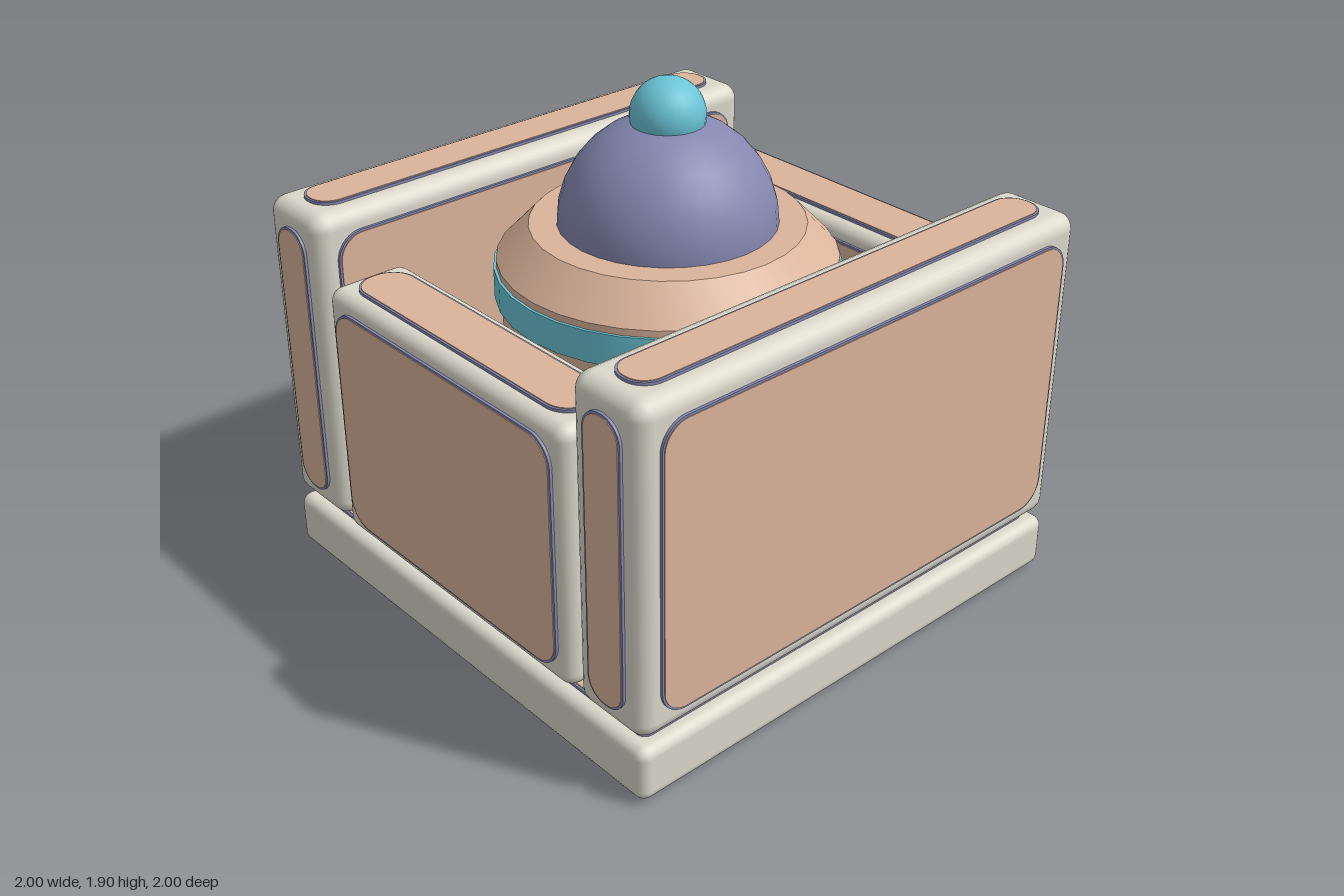
import * as THREE from 'three';
import { toCreasedNormals } from 'three/addons/utils/BufferGeometryUtils.js';
import { RoundedBoxGeometry } from 'three/addons/geometries/RoundedBoxGeometry.js';

const material = (name, color) => {
  const m = new THREE.MeshStandardMaterial({ color });
  m.name = name;
  return m;
};

export function createModel() {
  const stone = material('pale stone', 0xdbd9cb);
  const tan = material('tan', 0xdbb49b);
  const purple = material('dusty purple', 0x8587b0);
  const teal = material('teal', 0x6ac4d6);

  const model = new THREE.Group();
  model.name = 'turretFort';

  const add = (parent, name, geometry, mat, x = 0, y = 0, z = 0) => {
    const mesh = new THREE.Mesh(geometry, mat);
    mesh.name = name;
    mesh.position.set(x, y, z);
    parent.add(mesh);
    return mesh;
  };

  // Rounded rectangle extruded along +z
  const plate = (w, h, r, depth) => {
    const s = new THREE.Shape();
    const x = w / 2, y = h / 2;
    s.absarc(x - r, y - r, r, 0, Math.PI / 2);
    s.absarc(-x + r, y - r, r, Math.PI / 2, Math.PI);
    s.absarc(-x + r, -y + r, r, Math.PI, Math.PI * 1.5);
    s.absarc(x - r, -y + r, r, Math.PI * 1.5, Math.PI * 2);
    s.closePath();
    const g = new THREE.ExtrudeGeometry(s, { depth, bevelEnabled: false, curveSegments: 6 });
    return toCreasedNormals(g, 0.6);
  };

  // Raised panel facing +z: purple backing with a slightly smaller tan face
  const panel = (w, h, r) => {
    const g = new THREE.Group();
    g.name = 'panel';
    add(g, 'panelBacking', plate(w, h, r, 0.028), purple, 0, 0, -0.018);
    add(g, 'panelFace', plate(w - 0.016, h - 0.016, r - 0.008, 0.004), tan, 0, 0, 0.009);
    return g;
  };

  // Rounded block with panels on the chosen faces
  const block = (name, [w, h, d], [x, y, z], edge, inset, corner, sides) => {
    const g = new THREE.Group();
    g.name = name;
    g.position.set(x, y, z);
    add(g, name + 'Body', new RoundedBoxGeometry(w, h, d, 3, edge), stone);
    const q = Math.PI / 2;
    const faces = [
      [w, d, 0, h / 2, 0, -q, 0], [w, d, 0, -h / 2, 0, q, 0],
      [w, h, 0, 0, d / 2, 0, 0], [w, h, 0, 0, -d / 2, 0, 2 * q],
      [d, h, w / 2, 0, 0, 0, q], [d, h, -w / 2, 0, 0, 0, -q],
    ];
    for (const [a, b, px, py, pz, rx, ry] of faces.slice(0, sides)) {
      const pw = a - 2 * inset, ph = b - 2 * inset;
      const p = panel(pw, ph, Math.min(corner, Math.min(pw, ph) * 0.47));
      p.position.set(px, py, pz);
      p.rotation.set(rx, ry, 0);
      g.add(p);
    }
    model.add(g);
  };

  // Base slab, two high side walls, two lower end walls
  block('base', [1.974, 0.206, 1.974], [0, 0.116, 0], 0.04, 0.055, 0.035, 2);
  for (const s of [1, -1]) {
    block(s > 0 ? 'leftWall' : 'rightWall', [0.32, 1.2, 1.974], [s * 0.827, 0.85, 0], 0.06, 0.075, 0.1, 6);
    block(s > 0 ? 'frontWall' : 'backWall', [1.28, 0.97, 0.315], [0, 0.735, s * 0.8295], 0.05, 0.055, 0.1, 6);
  }

  // Round turret in the courtyard
  const lathe = (points) => toCreasedNormals(
    new THREE.LatheGeometry(points.map(([r, y]) => new THREE.Vector2(r, y)), 32), 0.5);
  add(model, 'turretColumn', lathe([[0, 0.23], [0.58, 0.23], [0.58, 1.15]]), tan);
  add(model, 'turretBand', lathe([[0.5, 1.13], [0.605, 1.13], [0.605, 1.245], [0.5, 1.245]]), teal);
  add(model, 'turretCollar', lathe([[0.595, 1.24], [0.595, 1.27], [0.48, 1.39], [0, 1.39]]), tan);

  // Dome and finial ball
  add(model, 'dome', new THREE.SphereGeometry(0.383, 32, 8, 0, Math.PI * 2, 0, Math.PI / 2), purple, 0, 1.388, 0);
  add(model, 'finial', new THREE.SphereGeometry(0.131, 24, 16), teal, 0, 1.774, 0);

  return model;
}
